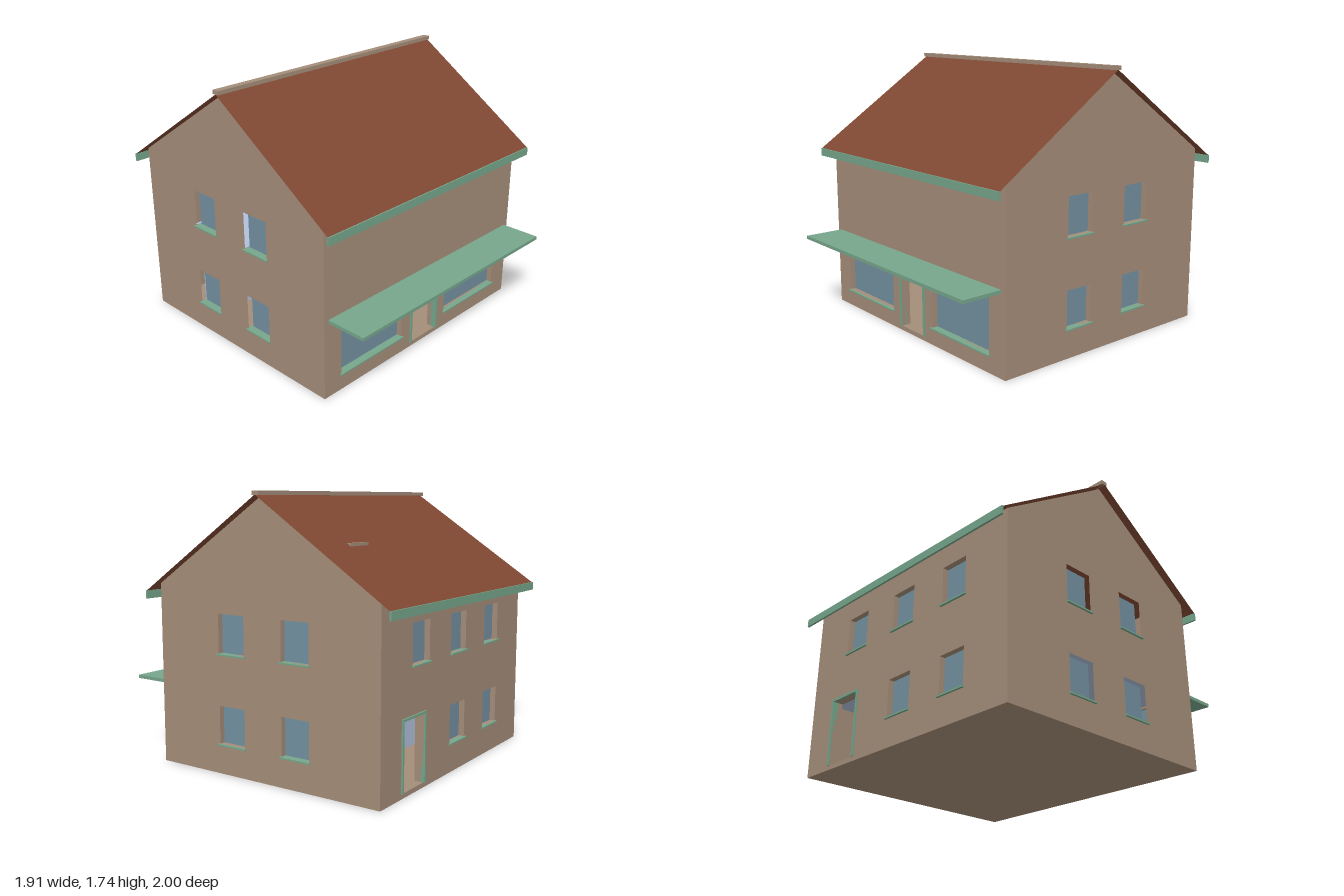
import * as THREE from 'three';

const mat = (name, color, side = THREE.FrontSide) => {
  const m = new THREE.MeshStandardMaterial({ color, side });
  m.name = name;
  return m;
};

export function createModel() {
  const render = mat('wall render', 0xa48d79);
  const trim = mat('green trim', 0x76a68b);
  const glass = mat('window glass', 0x7390a0);
  const tiles = mat('roof tiles', 0x7f4832, THREE.DoubleSide);
  const plaster = mat('interior plaster', 0xb0bfda);

  const house = new THREE.Group();
  house.name = 'house';
  const T = 0.06; // wall thickness
  const X = 0.91, FRONT = 0.73, BACK = -0.91, RIDGE_Z = -0.09, EAVE = 1.16;

  // Box given by its minimum and maximum corners
  function box(name, material, x0, x1, y0, y1, z0, z1, parent = house) {
    const m = new THREE.Mesh(new THREE.BoxGeometry(x1 - x0, y1 - y0, z1 - z0), material);
    m.position.set((x0 + x1) / 2, (y0 + y1) / 2, (z0 + z1) / 2);
    m.name = name;
    parent.add(m);
  }

  // Wall with real openings; local +z is outside, openings are [u0, u1, v0, v1]
  function wall(name, outline, windows, doors, position, turn) {
    const g = new THREE.Group();
    g.name = name;
    const shape = new THREE.Shape(outline.map(([u, v]) => new THREE.Vector2(u, v)));
    for (const [u0, u1, v0, v1] of [...windows, ...doors]) {
      shape.holes.push(new THREE.Path([
        new THREE.Vector2(u0, v0), new THREE.Vector2(u0, v1),
        new THREE.Vector2(u1, v1), new THREE.Vector2(u1, v0)]));
    }
    const geo = new THREE.ExtrudeGeometry(shape, { depth: T, bevelEnabled: false });
    geo.translate(0, 0, -T);
    const m = new THREE.Mesh(geo, render);
    m.name = name + 'Surface';
    g.add(m);
    // Recessed panes and projecting sills
    for (const [u0, u1, v0, v1] of windows) {
      box('windowPane', glass, u0, u1, v0, v1, -0.045, -0.037, g);
      box('windowSill', trim, u0 - 0.01, u1 + 0.01, v0 - 0.01, v0, -0.04, 0.014, g);
    }
    // Door frames
    for (const [u0, u1, v0, v1] of doors) {
      box('doorJamb', trim, u0 - 0.015, u0, v0, v1 + 0.015, -0.03, 0.01, g);
      box('doorJamb', trim, u1, u1 + 0.015, v0, v1 + 0.015, -0.03, 0.01, g);
      box('doorHead', trim, u0, u1, v1, v1 + 0.015, -0.03, 0.01, g);
    }
    g.position.set(...position);
    g.rotation.y = turn;
    house.add(g);
  }

  const LOW = [0.19, 0.43], HIGH = [0.755, 1.0];
  const long = [[-X, 0], [X, 0], [X, EAVE], [-X, EAVE]];
  wall('frontWall', long,
    [[-0.77, -0.22, 0.115, 0.485], [0.215, 0.765, 0.115, 0.485]],
    [[-0.122, 0.12, 0.03, 0.45]], [0, 0, FRONT], 0);
  wall('backWall', long,
    [[-0.1, 0.1, ...LOW], [0.37, 0.57, ...LOW],
      ...[-0.47, 0, 0.47].map(c => [c - 0.1, c + 0.1, ...HIGH])],
    [[-0.67, -0.428, 0.03, 0.45]], [0, 0, BACK], Math.PI);

  // Gable ends, mirrored by the sign s
  for (const s of [1, -1]) {
    const outline = [[-FRONT, 0], [-BACK, 0], [-BACK, EAVE], [-RIDGE_Z, 1.7], [-FRONT, EAVE]]
      .map(([u, v]) => [u * s, v]);
    const windows = [];
    for (const row of [LOW, HIGH]) {
      for (const [z0, z1] of [[0.05, 0.25], [-0.43, -0.23]]) {
        windows.push([...(s > 0 ? [-z1, -z0] : [z0, z1]), ...row]);
      }
    }
    wall(s > 0 ? 'leftGable' : 'rightGable', outline, windows, [], [s * X, 0, 0], s * Math.PI / 2);
  }

  // Inside: floor, ceiling and partition
  const i = X - T;
  box('floor', render, -i, i, 0, 0.03, BACK + T, FRONT - T);
  box('ceiling', plaster, -i, i, 0.5, 0.53, BACK + T, FRONT - T);
  box('partition', plaster, -i, i, 0.03, 0.5, -0.47, -0.43);
  box('partitionRecess', render, 0.09, 0.12, 0.19, 0.43, -0.43, -0.425);
  box('partitionTrim', trim, 0.083, 0.09, 0.19, 0.43, -0.43, -0.424);

  // Roof: two thin sheets meeting at the ridge
  const R = 0.957, top = 1.712;
  for (const [name, z] of [['frontRoof', 0.81], ['backRoof', -0.99]]) {
    const geo = new THREE.PlaneGeometry(2 * R, 1);
    const p = geo.attributes.position;
    for (let k = 0; k < 4; k++) {
      const ridge = p.getY(k) > 0;
      const x = p.getX(k) * (z > 0 ? 1 : -1);
      p.setXYZ(k, x, ridge ? top : 1.112, ridge ? RIDGE_Z : z);
    }
    geo.computeVertexNormals();
    const m = new THREE.Mesh(geo, tiles);
    m.name = name;
    house.add(m);
  }
  box('ridgeCap', render, -R, R, 1.71, 1.735, -0.115, -0.068);
  box('roofVent', render, 0.45, 0.635, 1.41, 1.436, -0.532, -0.487);

  // Eave boards and shop canopy
  box('frontEaveBoard', trim, -R, R, 1.06, 1.112, 0.805, 0.818);
  box('backEaveBoard', trim, -R, R, 1.06, 1.112, -1.0, -0.987);
  box('canopy', trim, -0.875, 0.875, 0.508, 0.53, FRONT, 1.0);

  return house;
}
